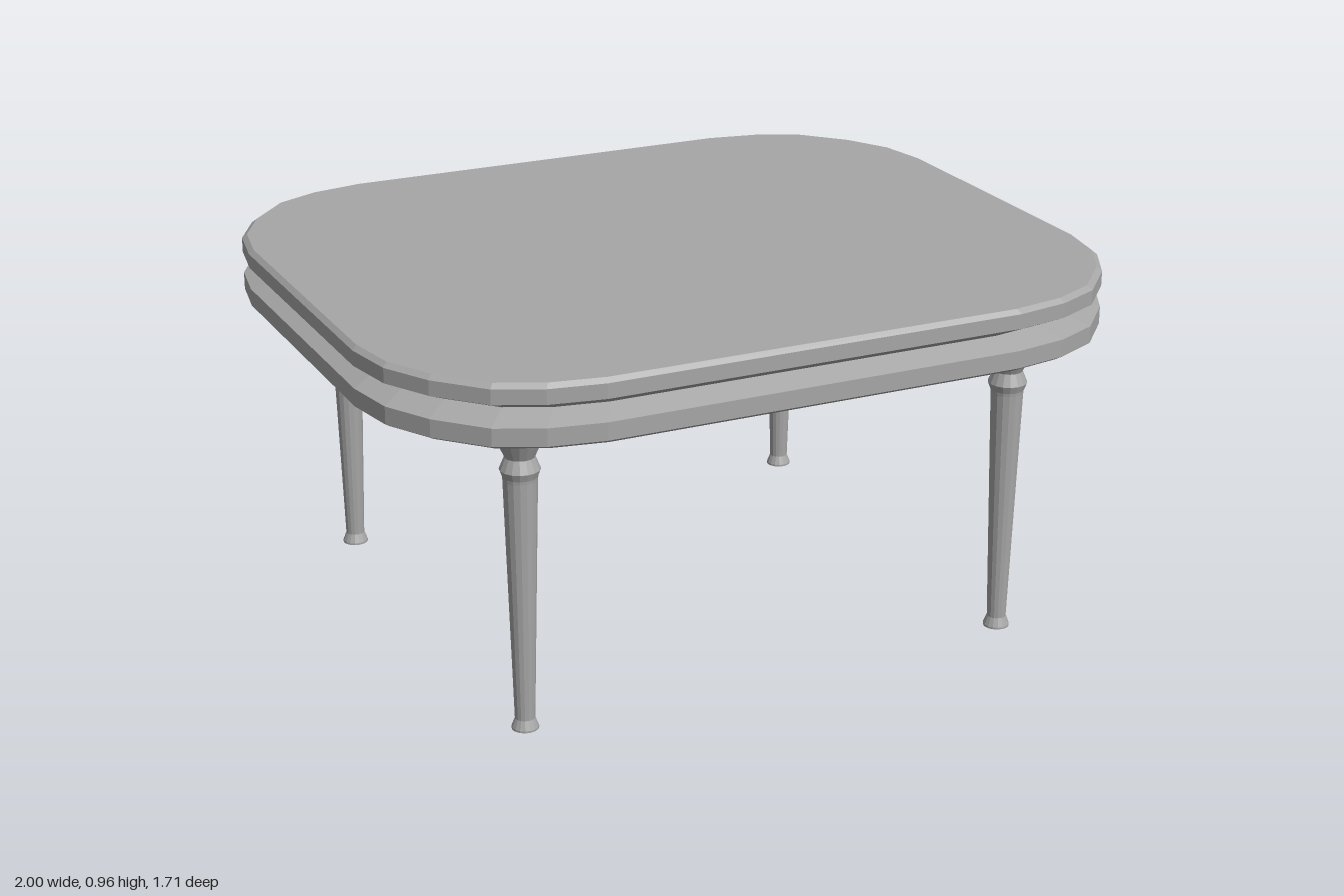
import * as THREE from 'three';

// One quarter of the rounded outline, mirrored into a full ring of [x, z]
function outline() {
  const q = [[1, 0.4], [0.975, 0.54], [0.91, 0.66], [0.805, 0.775], [0.69, 0.828], [0.55, 0.853]];
  const flip = (sx, sz, rev) => {
    const part = q.map(([x, z]) => [x * sx, z * sz]);
    return rev ? part.reverse() : part;
  };
  return [...flip(1, 1), ...flip(-1, 1, true), ...flip(-1, -1), ...flip(1, -1, true)];
}

// Slab lofted from [inset, height] levels listed from bottom to top, with flat caps
function slab(levels) {
  const ring = outline();
  const n = ring.length;
  const pos = [];
  const point = ([inset, y], i) => {
    const [x, z] = ring[i % n];
    return [x * (1 - inset), y, z * (1 - inset / 0.853)];
  };
  for (let k = 0; k < levels.length - 1; k++) {
    for (let i = 0; i < n; i++) {
      const a = point(levels[k], i), b = point(levels[k], i + 1);
      const c = point(levels[k + 1], i + 1), d = point(levels[k + 1], i);
      pos.push(...a, ...d, ...c, ...a, ...c, ...b);
    }
  }
  const low = levels[0], high = levels[levels.length - 1];
  for (let i = 0; i < n; i++) {
    pos.push(0, low[1], 0, ...point(low, i), ...point(low, i + 1));
    pos.push(0, high[1], 0, ...point(high, i + 1), ...point(high, i));
  }
  const geo = new THREE.BufferGeometry();
  geo.setAttribute('position', new THREE.Float32BufferAttribute(pos, 3));
  geo.computeVertexNormals();
  return geo;
}

export function createModel() {
  const group = new THREE.Group();
  const grey = new THREE.MeshStandardMaterial({ color: 0xa6a6a6 });
  grey.name = 'grey';
  const add = (geo, name) => {
    const mesh = new THREE.Mesh(geo, grey);
    mesh.name = name;
    group.add(mesh);
    return mesh;
  };

  // Two stacked slabs meeting in a V-shaped groove
  add(slab([[0.015, 0.8], [0, 0.81], [0, 0.855], [0.06, 0.88]]), 'lowerTop');
  add(slab([[0.06, 0.88], [0, 0.912], [0, 0.95], [0.012, 0.961]]), 'upperTop');

  // Turned, tapering legs with a collar and a small flared foot
  const profile = [
    [0, 0], [0.034, 0], [0.034, 0.005], [0.025, 0.028], [0.042, 0.655], [0.043, 0.664],
    [0.05, 0.683], [0.037, 0.714], [0.077, 0.8], [0, 0.802],
  ].map(([r, y]) => new THREE.Vector2(r, y));
  const legGeo = new THREE.LatheGeometry(profile, 16).toNonIndexed();
  legGeo.computeVertexNormals();
  const places = [
    ['frontLeftLeg', 0.661, 0.632], ['frontRightLeg', -0.679, 0.632],
    ['backLeftLeg', 0.661, -0.602], ['backRightLeg', -0.679, -0.602],
  ];
  for (const [name, x, z] of places) add(legGeo, name).position.set(x, 0, z);

  return group;
}
